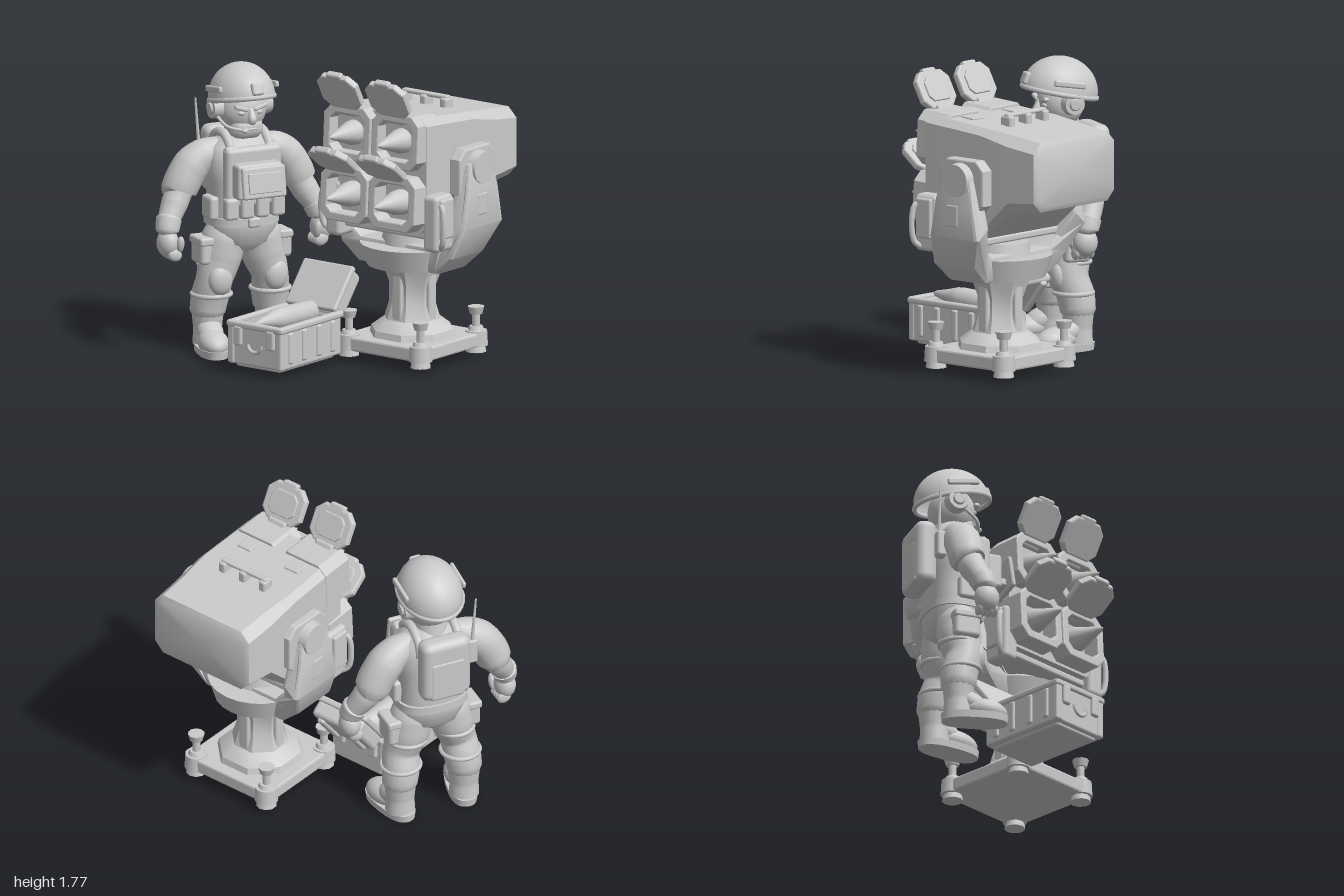
import * as THREE from 'three';
import { toCreasedNormals } from 'three/addons/utils/BufferGeometryUtils.js';
import { RoundedBoxGeometry } from 'three/addons/geometries/RoundedBoxGeometry.js';

const V = (x, y, z) => new THREE.Vector3(x, y, z);
const grey = new THREE.MeshStandardMaterial({ name: 'plain grey', color: 0xcbcbcb, side: THREE.DoubleSide });
const YAW = -1.107;

function add(parent, name, geo, p = [0, 0, 0], r = [0, 0, 0], s = [1, 1, 1]) {
  const m = new THREE.Mesh(geo, grey);
  m.name = name;
  m.position.set(...p); m.rotation.set(...r); m.scale.set(...s);
  parent.add(m);
  return m;
}
const group = (parent, name, x, z, yaw = 0) => {
  const g = new THREE.Group();
  g.name = name; g.position.set(x, 0, z); g.rotation.y = yaw;
  parent.add(g);
  return g;
};
const box = (w, h, d, r = 0.015) => new RoundedBoxGeometry(w, h, d, 2, Math.min(r, w / 2.1, h / 2.1, d / 2.1));
const cyl = (a, b, h, n = 20) => new THREE.CylinderGeometry(a, b, h, n);
const ball = () => new THREE.SphereGeometry(1, 24, 16);

// Skin joining rings that run counter-clockwise about their axis
function loft(rings, crease = 0.6) {
  const n = rings[0].length, pos = [], idx = [], last = rings.length - 1;
  rings.forEach(r => r.forEach(p => pos.push(p.x, p.y, p.z)));
  for (let i = 0; i < last; i++) for (let j = 0; j < n; j++) {
    const a = i * n + j, b = i * n + (j + 1) % n;
    idx.push(a, b, b + n, a, b + n, a + n);
  }
  for (const e of [0, last]) {
    const c = rings[e].reduce((s, p) => s.add(p), V(0, 0, 0)).divideScalar(n), k = pos.length / 3;
    pos.push(c.x, c.y, c.z);
    for (let j = 0; j < n; j++) {
      const a = e * n + j, b = e * n + (j + 1) % n;
      e ? idx.push(k, a, b) : idx.push(k, b, a);
    }
  }
  const g = new THREE.BufferGeometry();
  g.setAttribute('position', new THREE.Float32BufferAttribute(pos, 3));
  g.setIndex(idx);
  return toCreasedNormals(g, crease);
}
// Tube whose radius follows a list of [x, y, z, radius]
function limb(list, n = 24) {
  const curve = new THREE.CatmullRomCurve3(list.map(p => V(p[0], p[1], p[2])));
  const g = new THREE.TubeGeometry(curve, n, 1, 16), a = g.attributes.position, v = V(0, 0, 0);
  for (let i = 0; i <= n; i++) {
    const c = curve.getPointAt(i / n), t = curve.getUtoTmapping(i / n) * (list.length - 1);
    const k = Math.min(Math.floor(t), list.length - 2);
    const r = THREE.MathUtils.lerp(list[k][3], list[k + 1][3], t - k);
    for (let j = 0; j <= 16; j++) {
      v.fromBufferAttribute(a, i * 17 + j).sub(c).multiplyScalar(r).add(c);
      a.setXYZ(i * 17 + j, v.x, v.y, v.z);
    }
  }
  return toCreasedNormals(g, 1);
}
const octPoints = (w, h, c) => [[w, c - h], [w, h - c], [w - c, h], [c - w, h], [-w, h - c], [-w, c - h], [c - w, -h], [w - c, -h]]
  .map(p => new THREE.Vector2(...p));
const extrude = (shape, depth, bevel = 0) => new THREE.ExtrudeGeometry(shape, {
  depth, bevelEnabled: bevel > 0, bevelSize: bevel, bevelThickness: bevel, bevelSegments: 2, curveSegments: 10 }).translate(0, 0, -depth / 2);

function missile(parent, p, r, len) {
  const profile = [[0, 0.22], [0.018, 0.19], [0.6 * r, 0.1], [0.95 * r, 0.02], [r, -0.02], [r, -len], [0, -len]];
  add(parent, 'missile', new THREE.LatheGeometry(profile.map(q => new THREE.Vector2(...q)).reverse(), 20), p, [Math.PI / 2 - 0.04, 0, 0]);
}

function buildLauncher(root) {
  const g = group(root, 'launcher', 0.35, 0.21, YAW);
  // Square base plate with a padded jack at each corner
  add(g, 'basePlate', extrude(new THREE.Shape(octPoints(0.3, 0.3, 0.05)), 0.06, 0.012), [0, 0.11, 0], [Math.PI / 2, 0, 0]);
  for (const x of [-0.265, 0.265]) for (const z of [-0.265, 0.265]) {
    add(g, 'jackPad', cyl(0.065, 0.07, 0.09, 16), [x, 0.115, z]);
    add(g, 'jackFoot', cyl(0.055, 0.062, 0.035, 10), [x, 0.05, z]);
    add(g, 'jackCollar', cyl(0.04, 0.055, 0.04, 12), [x, 0.165, z]);
    add(g, 'jackScrew', cyl(0.024, 0.024, 0.22, 10), [x, 0.17, z]);
    add(g, 'jackKnob', cyl(0.05, 0.038, 0.045, 10), [x, 0.28, z]);
  }
  // Flared pedestal and turntable
  const ped = [[0.26, 0.15], [0.25, 0.19], [0.17, 0.25], [0.14, 0.35], [0.14, 0.45], [0.19, 0.58]];
  add(g, 'pedestal', toCreasedNormals(new THREE.LatheGeometry(ped.map(p => new THREE.Vector2(...p)), 8, Math.PI / 8), 0.5));
  for (let i = 0; i < 4; i++) {
    const t = i * Math.PI / 2;
    add(g, 'pedestalRib', box(0.07, 0.37, 0.06), [Math.sin(t) * 0.125, 0.38, Math.cos(t) * 0.125], [0, t, 0]);
  }
  add(g, 'turntable', cyl(0.31, 0.27, 0.13, 24), [0, 0.64, 0]);
  add(g, 'turntableTop', cyl(0.17, 0.19, 0.1, 24), [0, 0.73, 0]);
  // U-shaped yoke, widened towards the elbows
  const half = [[0.28, 0.59], [0.39, 0.69], [0.46, 0.86], [0.46, 1.08], [0.44, 1.22], [0.39, 1.22], [0.39, 0.92], [0.34, 0.78], [0.26, 0.71]];
  const yoke = extrude(new THREE.Shape([...half, ...half.map(p => [-p[0], p[1]]).reverse()].map(p => new THREE.Vector2(...p))), 0.25, 0.02);
  const q = yoke.attributes.position;
  for (let i = 0; i < q.count; i++) {
    const y = q.getY(i), f = y < 0.9 ? THREE.MathUtils.mapLinear(y, 0.56, 0.9, 1, 1.35) : THREE.MathUtils.mapLinear(y, 0.9, 1.24, 1.35, 0.7);
    q.setZ(i, q.getZ(i) * f - (y > 0.8 ? 0.06 : 0));
  }
  add(g, 'yoke', toCreasedNormals(yoke, 0.5));
  for (const e of [-1, 1]) {
    add(g, 'pivotPlate', extrude(new THREE.Shape(octPoints(0.16, 0.15, 0.05)), 0.06, 0.01), [e * 0.385, 1.16, -0.075], [0, Math.PI / 2, 0]);
    add(g, 'pivotCap', cyl(0.095, 0.11, 0.1, 24), [e * 0.43, 1.2, -0.07], [0, 0, -e * Math.PI / 2]);
    add(g, 'armPanel', box(0.02, 0.13, 0.09), [e * 0.475, 0.99, -0.05]);
    // Side control box with a grip
    add(g, 'controlBox', box(0.11, 0.34, 0.17, 0.03), [e * 0.36, 0.91, 0.22]);
    add(g, 'controlDoor', box(0.03, 0.24, 0.12), [e * 0.42, 0.94, 0.22]);
    add(g, 'grip', new THREE.TubeGeometry(new THREE.CatmullRomCurve3([V(e * 0.4, 1.03, 0.26), V(e * 0.44, 1.01, 0.28), V(e * 0.44, 0.8, 0.28), V(e * 0.39, 0.76, 0.25)]), 16, 0.018, 8));
  }
  // Armoured housing, tapering up towards the rear
  const ring = (z, w, bottom, top, c) => octPoints(w, (top - bottom) / 2, c).map(p => V(p.x - 0.02, p.y + (top + bottom) / 2, z));
  add(g, 'housing', loft([ring(-0.58, 0.325, 1.07, 1.42, 0.05), ring(-0.56, 0.355, 1.04, 1.45, 0.06), ring(-0.36, 0.36, 1.02, 1.475, 0.06),
    ring(-0.14, 0.36, 0.84, 1.5, 0.04), ring(0.29, 0.35, 0.84, 1.535, 0.045)], 0.7));
  add(g, 'cradle', box(0.72, 0.045, 0.4), [-0.01, 0.82, 0.05]);
  for (const x of [-0.205, 0.15]) {
    add(g, 'topPanel', box(0.1, 0.015, 0.1), [x, 1.52, 0.08], [-0.06, 0, 0]);
    for (const [y, z, angle] of [[1.385, 0.28, 0.5], [1.02, 0.31, 0.9]]) {
      // Canister mouth, hinged lid and missile
      const frame = new THREE.Shape(octPoints(0.165, 0.155, 0.05));
      frame.holes.push(new THREE.Path(octPoints(0.13, 0.12, 0.04).reverse()));
      add(g, 'canister', extrude(frame, 0.2, 0.008), [x, y, z - 0.02], [-0.06, 0, 0]);
      missile(g, [x, y, z + 0.03], 0.075, 0.2);
      const lid = new THREE.Group();
      lid.name = 'lid'; lid.position.set(x - 0.02, y + 0.14, z + 0.05); lid.rotation.x = angle;
      g.add(lid);
      add(lid, 'lidPlate', extrude(new THREE.Shape(octPoints(0.13, 0.105, 0.045)), 0.022, 0.012), [0, 0.138, 0]);
      add(lid, 'lidPad', extrude(new THREE.Shape(octPoints(0.09, 0.07, 0.03)), 0.018, 0.006), [0, 0.138, -0.02]);
      add(lid, 'lidCatch', box(0.11, 0.06, 0.045), [0, 0.245, 0]);
      add(lid, 'lidHinge', box(0.13, 0.08, 0.06), [0, 0.0, -0.01]);
    }
  }
  // Carrying handle across the roof
  add(g, 'roofHandle', box(0.34, 0.025, 0.045), [-0.03, 1.555, -0.17]);
  for (const x of [-0.18, -0.03, 0.12]) add(g, 'handleFoot', box(0.05, 0.08, 0.08), [x, 1.515, -0.17]);
}

function buildCrate(root) {
  const g = group(root, 'ammunitionCrate', -0.425, 0.1, YAW);
  add(g, 'crateFloor', box(0.36, 0.21, 0.53), [0, 0.155, 0]);
  for (const e of [-1, 1]) {
    add(g, 'crateSide', box(0.035, 0.24, 0.57), [e * 0.18, 0.175, 0]);
    add(g, 'crateEnd', box(0.37, 0.24, 0.035), [0, 0.175, e * 0.27]);
    add(g, 'rimSide', box(0.045, 0.04, 0.6), [e * 0.185, 0.295, 0]);
    add(g, 'rimEnd', box(0.4, 0.04, 0.045), [0, 0.295, e * 0.28]);
    for (const z of [-0.2, -0.07, 0.07, 0.2]) add(g, 'rib', box(0.03, 0.19, 0.045), [e * 0.195, 0.18, z]);
    for (const x of [-0.12, 0.12]) add(g, 'latch', box(0.06, 0.12, 0.035), [x, 0.23, e * 0.29]);
    add(g, 'corner', box(0.05, 0.24, 0.05), [e * 0.175, 0.175, 0.27]);
  }
  add(g, 'bottomSkid', box(0.33, 0.04, 0.52), [0, 0.055, 0]);
  add(g, 'endHandle', new THREE.TorusGeometry(0.05, 0.012, 8, 16, Math.PI), [0, 0.19, 0.29], [0, 0, Math.PI]);
  missile(g, [0, 0.305, 0.06], 0.066, 0.3);
  // Open lid leaning off the rear end
  add(g, 'crateLid', box(0.35, 0.11, 0.28, 0.03), [0, 0.395, -0.385], [0.9, 0, 0]);
  add(g, 'crateLidRim', box(0.37, 0.04, 0.3), [0, 0.43, -0.34], [0.9, 0, 0]);
  for (const x of [-0.1, 0.1]) add(g, 'lidRib', box(0.05, 0.04, 0.24), [x, 0.36, -0.43], [0.9, 0, 0]);
}

function buildSoldier(root) {
  const g = group(root, 'soldier', -0.43, -0.48);
  const oval = (y, rx, rz, cz = 0) => Array.from({ length: 24 }, (_, i) => {
    const t = i * Math.PI / 12, p = v => Math.sign(v) * Math.abs(v) ** 0.8;
    return V(rx * p(Math.cos(t)), y, cz - rz * p(Math.sin(t)));
  });
  add(g, 'torso', loft([oval(0.6, 0.1, 0.09), oval(0.65, 0.19, 0.14), oval(0.76, 0.21, 0.16), oval(0.88, 0.2, 0.155), oval(1.02, 0.215, 0.165),
    oval(1.15, 0.235, 0.165), oval(1.23, 0.21, 0.14, -0.01), oval(1.3, 0.1, 0.09, -0.01)], 1));
  add(g, 'belt', loft([oval(0.76, 0.222, 0.172), oval(0.81, 0.222, 0.172)]));
  add(g, 'buckle', box(0.08, 0.06, 0.03), [0, 0.785, 0.175]);
  // Vest, pouches and chest tablet
  add(g, 'frontVest', box(0.36, 0.36, 0.08, 0.03), [0, 1.06, 0.145]);
  add(g, 'chestPouch', box(0.29, 0.21, 0.1, 0.02), [0, 1.05, 0.215]);
  add(g, 'tablet', box(0.28, 0.19, 0.03), [-0.01, 1.06, 0.325], [-0.15, 0, 0]);
  add(g, 'tabletScreen', box(0.21, 0.12, 0.015, 0.005), [-0.01, 1.06, 0.342], [-0.15, 0, 0]);
  add(g, 'tabletArm', box(0.12, 0.05, 0.1), [-0.01, 1.02, 0.285]);
  for (const x of [-0.15, -0.05, 0.05, 0.15]) add(g, 'magazinePouch', box(0.085, 0.13, 0.07, 0.02), [x, 0.88, 0.17]);
  add(g, 'backpack', box(0.31, 0.4, 0.13, 0.05), [0, 1.11, -0.2]);
  add(g, 'packFlap', box(0.22, 0.26, 0.04, 0.02), [0, 1.05, -0.25]);
  add(g, 'radio', box(0.07, 0.16, 0.06), [-0.2, 1.13, -0.14]);
  add(g, 'antenna', cyl(0.006, 0.012, 0.3, 8), [-0.215, 1.34, -0.15], [0, 0, 0.08]);
  // Paired limbs and gear
  for (const s of [-1, 1]) {
    add(g, 'leg', limb([[s * 0.1, 0.76, 0, 0.1], [s * 0.115, 0.68, 0, 0.13], [s * 0.14, 0.56, 0, 0.13], [s * 0.18, 0.43, 0.01, 0.108], [s * 0.195, 0.32, -0.02, 0.112], [s * 0.205, 0.23, -0.03, 0.105], [s * 0.205, 0.18, -0.03, 0.07]]));
    add(g, 'kneePad', ball(), [s * 0.18, 0.44, 0.09], [0, 0, 0], [0.075, 0.095, 0.05]);
    add(g, 'thighPouch', box(0.08, 0.16, 0.16, 0.025), [s * 0.255, 0.61, 0]);
    add(g, 'thighFlap', box(0.09, 0.05, 0.17), [s * 0.257, 0.67, 0]);
    for (const [y, x] of [[0.52, 0.15], [0.34, 0.19]]) add(g, 'legStrap', new THREE.TorusGeometry(0.114, 0.014, 8, 24), [s * x, y, -0.008], [Math.PI / 2, 0, 0]);
    const boot = group(g, 'boot', s * 0.205, -0.03, s * 0.22);
    add(boot, 'bootShaft', limb([[0, 0.27, 0, 0.085], [0, 0.24, 0, 0.098], [0, 0.13, 0, 0.085], [0, 0.04, 0, 0.09]]));
    add(boot, 'instep', ball(), [0, 0.12, 0.07], [0.5, 0, 0], [0.078, 0.07, 0.12]);
    add(boot, 'bootToe', ball(), [0, 0.075, 0.15], [0.1, 0, 0], [0.09, 0.075, 0.14]);
    add(boot, 'sole', loft([oval(0, 0.085, 0.195, 0.095), oval(0.045, 0.09, 0.2, 0.095)]));
    add(g, 'sleeve', limb([[s * 0.13, 1.22, -0.02, 0.06], [s * 0.22, 1.18, -0.03, 0.095], [s * 0.3, 1.12, -0.04, 0.11], [s * 0.365, 1.02, -0.04, 0.11], [s * 0.39, 0.96, -0.04, 0.106], [s * 0.395, 0.94, -0.03, 0.06]]));
    add(g, 'forearm', limb([[s * 0.37, 1, -0.04, 0.08], [s * 0.425, 0.9, -0.02, 0.08], [s * 0.485, 0.8, 0.015, 0.064]]));
    add(g, 'gloveCuff', limb([[s * 0.47, 0.83, 0.005, 0.05], [s * 0.475, 0.82, 0.01, 0.078], [s * 0.495, 0.755, 0.03, 0.07], [s * 0.497, 0.73, 0.03, 0.04]]));
    add(g, 'hand', ball(), [s * 0.497, 0.685, 0.04], [0, 0, 0], [0.064, 0.085, 0.075]);
    for (let i = 0; i < 4; i++) add(g, 'finger', ball(), [s * 0.475, 0.62, 0.0 + i * 0.031], [0, 0, s * 0.4], [0.045, 0.038, 0.021]);
    add(g, 'thumb', ball(), [s * 0.445, 0.68, 0.1], [0.3, 0, 0], [0.025, 0.055, 0.025]);
    add(g, 'armPatch', box(0.02, 0.1, 0.1), [s * 0.412, 1.11, -0.04], [0, 0, s * 0.45]);
    add(g, 'shoulderStrap', new THREE.TorusGeometry(0.135, 0.028, 8, 20, Math.PI), [s * 0.125, 1.17, -0.01], [0, Math.PI / 2, 0]);
    add(g, 'collarPouch', box(0.09, 0.09, 0.06, 0.02), [s * 0.13, 1.2, 0.14], [-0.25, 0, 0]);
    add(g, 'sidePouch', box(0.06, 0.14, 0.13, 0.02), [s * 0.215, 0.87, 0.03]);
    // Headset, eyes and brows
    add(g, 'earCup', cyl(0.06, 0.072, 0.06), [s * 0.16, 1.45, -0.02], [0, 0, -s * Math.PI / 2]);
    add(g, 'earCap', cyl(0.03, 0.045, 0.025), [s * 0.19, 1.45, -0.02], [0, 0, -s * Math.PI / 2]);
    add(g, 'eye', ball(), [s * 0.055, 1.435, 0.118], [0, 0, 0], [0.025, 0.015, 0.018]);
    add(g, 'brow', box(0.09, 0.025, 0.035, 0.01), [s * 0.06, 1.465, 0.125], [0, 0, s * 0.3]);
    add(g, 'helmetRail', box(0.025, 0.04, 0.2), [s * 0.183, 1.57, 0.01], [-0.15, 0, 0]);
  }
  // Head and helmet
  add(g, 'neck', cyl(0.09, 0.11, 0.12), [0, 1.28, -0.02]);
  add(g, 'head', ball(), [0, 1.44, 0], [0, 0, 0], [0.148, 0.15, 0.138]);
  add(g, 'jaw', box(0.21, 0.15, 0.19, 0.07), [0, 1.335, 0.03]);
  add(g, 'nose', limb([[0, 1.46, 0.125, 0.012], [0, 1.42, 0.145, 0.022], [0, 1.39, 0.15, 0.028], [0, 1.375, 0.13, 0.012]], 10));
  add(g, 'mouth', box(0.09, 0.012, 0.02, 0.005), [0, 1.335, 0.125]);
  add(g, 'microphone', new THREE.TubeGeometry(new THREE.CatmullRomCurve3([V(-0.17, 1.42, 0), V(-0.14, 1.36, 0.1), V(-0.05, 1.335, 0.155)]), 12, 0.01, 8));
  add(g, 'microphoneTip', ball(), [-0.05, 1.335, 0.155], [0, 0, 0], [0.02, 0.016, 0.016]);
  add(g, 'helmet', new THREE.SphereGeometry(1, 32, 16, 0, Math.PI * 2, 0, 1.62), [0, 1.505, 0.005], [-0.2, 0, 0], [0.19, 0.208, 0.232]);
  add(g, 'helmetRim', new THREE.TorusGeometry(1, 0.06, 8, 32), [0, 1.5, 0.005], [Math.PI / 2 - 0.2, 0, 0], [0.187, 0.23, 0.25]);
  add(g, 'helmetMount', box(0.075, 0.075, 0.04), [0, 1.595, 0.215], [-0.35, 0, 0]);
}

export function createModel() {
  const root = new THREE.Group();
  root.name = 'launcherScene';
  buildLauncher(root);
  buildCrate(root);
  buildSoldier(root);
  return root;
}
